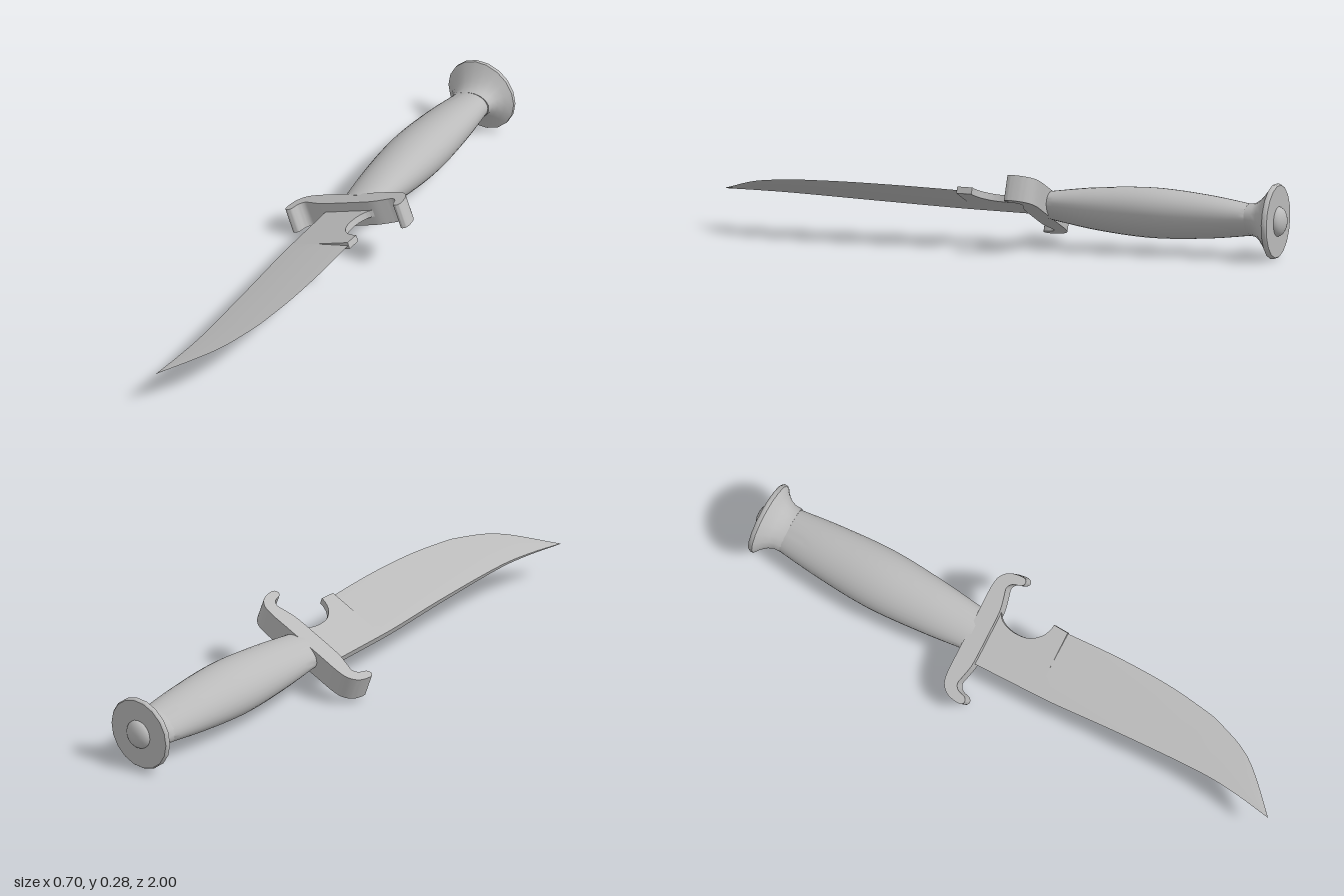
import * as THREE from 'three';
import { toCreasedNormals } from 'three/addons/utils/BufferGeometryUtils.js';

const steel = new THREE.MeshStandardMaterial({ color: 0xbbbbbb });
steel.name = 'grey steel';
const deg = Math.PI / 180;

// Skin closed rings of [x, y, z], listed from back to front, and cap both ends.
function loft(rings, crease) {
  const n = rings[0].length, last = (rings.length - 1) * n, index = [];
  for (let i = 0; i < rings.length - 1; i++) {
    for (let j = 0; j < n; j++) {
      const a = i * n + j, b = i * n + (j + 1) % n;
      index.push(a, b, b + n, a, b + n, a + n);
    }
  }
  for (let j = 1; j < n - 1; j++) index.push(0, j + 1, j, last, last + j, last + j + 1);
  const geo = new THREE.BufferGeometry();
  geo.setAttribute('position', new THREE.Float32BufferAttribute(rings.flat(2), 3));
  geo.setIndex(index);
  return toCreasedNormals(geo, crease * deg);
}

// Elliptical ring with half width w and half thickness t.
function ellipse(z, w, t, sides, cx = 0) {
  return Array.from({ length: sides }, (_, j) => {
    const a = j / sides * Math.PI * 2;
    return [cx + w * Math.cos(a), t * Math.sin(a), z];
  });
}

// Plate drawn in the x-z plane, centred on y = 0.
function plate(shape, thickness) {
  const geo = new THREE.ExtrudeGeometry(shape, { depth: thickness, bevelEnabled: false, curveSegments: 12 });
  geo.translate(0, 0, -thickness / 2).rotateX(Math.PI / 2);
  return toCreasedNormals(geo, 35 * deg);
}

const curve = pts => new THREE.SplineCurve(pts.map(p => new THREE.Vector2(...p)));

// Read x from a curve of [z, x] points at a given z.
function sampler(pts) {
  const fine = curve(pts).getPoints(200);
  return z => {
    const k = fine.findIndex(p => p.x >= z - 1e-6);
    if (k < 0) return fine[200].y;
    if (k === 0) return fine[0].y;
    const p = fine[k - 1], q = fine[k];
    return p.y + (q.y - p.y) * (z - p.x) / (q.x - p.x);
  };
}

export function createModel() {
  const model = new THREE.Group();
  model.name = 'knife';
  const knife = new THREE.Group();
  knife.name = 'tiltedKnife';
  knife.position.set(0.015, 0.145, -0.145);
  knife.rotation.set(-1.3 * deg, -13.4 * deg, 21.2 * deg, 'YXZ');
  model.add(knife);
  const add = (name, geo) => {
    const mesh = new THREE.Mesh(geo, steel);
    mesh.name = name;
    knife.add(mesh);
    return mesh;
  };

  // Blade: flat spine side, bevelled to a sharp curved edge
  const z0 = 0.27, z1 = 1.19, thick = 0.012;
  const spine = sampler([[z0, -0.097], [0.36, -0.094], [0.6, -0.079], [0.9, -0.068], [1.05, -0.077], [z1, -0.098]]);
  const edge = sampler([[z0, 0.141], [0.47, 0.15], [0.66, 0.147], [0.8, 0.132], [0.89, 0.114], [1.037, 0.05], [z1, -0.0975]]);
  const bladeRings = [];
  for (let i = 0; i <= 28; i++) {
    const u = i / 28, z = z0 + (z1 - z0) * u;
    const s = spine(z), e = edge(z), m = s + (e - s) * 0.44;
    const t = thick * (1 - 0.9 * u ** 2);
    bladeRings.push([[e, 0, z], [m, t, z], [s, t, z], [s, -t, z], [m, -t, z]]);
  }
  add('blade', loft(bladeRings, 30));

  // Blade root with the round finger notch
  const root = new THREE.Shape();
  root.moveTo(-0.101, 0);
  root.lineTo(0.115, 0);
  root.lineTo(0.112, 0.028);
  root.splineThru([[0.083, 0.043], [0.064, 0.075], [0.058, 0.12], [0.066, 0.162], [0.092, 0.196], [0.12, 0.212], [0.146, 0.218]]
    .map(p => new THREE.Vector2(...p)));
  root.lineTo(0.144, 0.273);
  root.lineTo(-0.097, 0.273);
  add('bladeRoot', plate(root, thick * 2));

  // Cross guard with both ends hooked towards the blade
  const half = curve([[0.1, -0.034], [0.16, -0.034], [0.205, -0.026], [0.233, 0], [0.243, 0.035], [0.242, 0.06],
    [0.228, 0.068], [0.214, 0.058], [0.205, 0.03], [0.185, 0.016], [0.155, 0.022], [0.11, 0.032], [0.06, 0.034]]).getPoints(48);
  const mirrored = half.map(p => new THREE.Vector2(-p.x, p.y)).reverse();
  add('guard', plate(new THREE.Shape([...half, ...mirrored]), 0.09));

  // Handle: swelling oval grip
  const gripWidth = sampler([[-0.77, 0.079], [-0.6, 0.098], [-0.4, 0.109], [-0.2, 0.097], [-0.02, 0.077]]);
  const gripThick = sampler([[-0.77, 0.051], [-0.6, 0.074], [-0.4, 0.086], [-0.2, 0.073], [-0.02, 0.046]]);
  const gripRings = [];
  for (let i = 0; i <= 20; i++) {
    const z = -0.77 + 0.75 * i / 20;
    gripRings.push(ellipse(z, gripWidth(z), gripThick(z), 32, 0.004 - 0.006 * z));
  }
  add('handle', loft(gripRings, 40));

  // Pommel: oval neck flaring to a round flat disc
  const pommel = [[-0.855, 0.126, 0.126], [-0.85, 0.13, 0.13], [-0.838, 0.13, 0.13], [-0.82, 0.108, 0.1],
    [-0.8, 0.092, 0.074], [-0.78, 0.084, 0.058], [-0.755, 0.083, 0.054]];
  add('pommel', loft(pommel.map(([z, w, t]) => ellipse(z, w, t, 18, 0.011)), 40));

  // Domed button on the end of the pommel
  const button = add('pommelButton', new THREE.SphereGeometry(0.052, 24, 12));
  button.scale.z = 0.6;
  button.position.set(0.011, 0, -0.853);

  return model;
}
